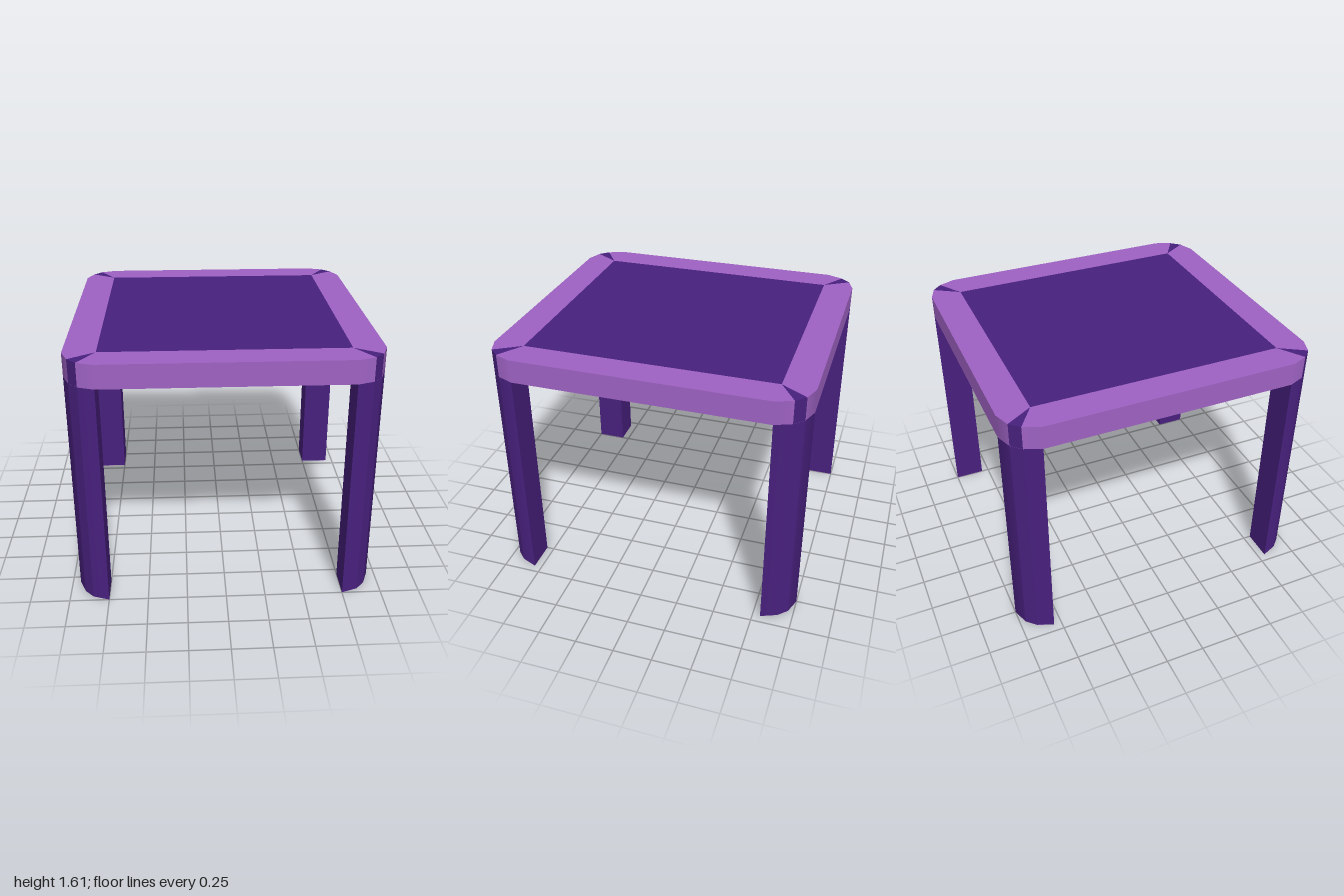
import * as THREE from 'three';

const CX = 0.75, CZ = 0.8;            // corner centres
const HX = 0.95, HZ = 1;              // outer half sizes
const Y0 = 1.46, Y1 = 1.61, SKIN = 0.001;
const A = [0.908, 0.904], B = [0.852, 0.963]; // points on the corner arc

const dark = new THREE.MeshStandardMaterial({ color: 0x48207e });
const light = new THREE.MeshStandardMaterial({ color: 0x9e62c3 });

// Upright prism over an outline of [x, z] points; normals blend where straight sides meet the corners
function prism(name, outline, y0, y1, material) {
  const shape = new THREE.Shape(outline.map(([x, z]) => new THREE.Vector2(x, -z)));
  const geo = new THREE.ExtrudeGeometry(shape, { depth: y1 - y0, bevelEnabled: false });
  geo.rotateX(-Math.PI / 2).translate(0, y0, 0);
  const pos = geo.attributes.position, nor = geo.attributes.normal;
  for (let i = 0; i < pos.count; i++) {
    const sx = Math.sign(pos.getX(i)), sz = Math.sign(pos.getZ(i));
    const onSide = Math.abs(pos.getX(i)) > HX - 1e-4, onEnd = Math.abs(pos.getZ(i)) > HZ - 1e-4;
    if (onSide && nor.getX(i) * sx > 0.8) nor.setXYZ(i, sx, 0, 0);
    if (onEnd && nor.getZ(i) * sz > 0.8) nor.setXYZ(i, 0, 0, sz);
  }
  const mesh = new THREE.Mesh(geo, material);
  mesh.name = name;
  return mesh;
}

const flip = (pts, sx, sz) => pts.map(([x, z]) => [x * sx, z * sz]);

export function createModel() {
  const model = new THREE.Group();
  model.name = 'table';

  // Rounded corner, and the whole outline made from it
  const arc = [[HX, CZ], A, B, [CX, HZ]];
  const outline = [
    ...arc,
    ...flip(arc, -1, 1).reverse(),
    ...flip(arc, -1, -1),
    ...flip(arc, 1, -1).reverse(),
  ];

  // Underside and centre panel
  model.add(prism('underside', outline, Y0, Y0 + SKIN, light));
  const centre = [[CX, CZ], [-CX, CZ], [-CX, -CZ], [CX, -CZ]];
  model.add(prism('centrePanel', centre, Y0 + SKIN, Y1, dark));

  // Rim boards, tapering into the corners
  const endRim = [[CX, CZ], B, [CX, HZ]];
  const sideRim = [[CX, CZ], A, [HX, CZ]];
  for (const s of [1, -1]) {
    const end = [...flip(endRim, 1, s), ...flip(endRim, -1, s).reverse()];
    const side = [...flip(sideRim, s, 1), ...flip(sideRim, s, -1).reverse()];
    model.add(prism(s > 0 ? 'frontRim' : 'backRim', end, Y0 + SKIN, Y1, light));
    model.add(prism(s > 0 ? 'leftRim' : 'rightRim', side, Y0 + SKIN, Y1, light));
  }

  // Legs with pale feet, and the corner wedges above them
  for (const sx of [1, -1]) {
    for (const sz of [1, -1]) {
      const corner = (sz > 0 ? 'front' : 'back') + (sx > 0 ? 'Left' : 'Right');
      const section = flip([[CX, CZ], ...arc], sx, sz);
      model.add(prism(corner + 'Foot', section, 0, SKIN, light));
      model.add(prism(corner + 'Leg', section, SKIN, Y0, dark));
      model.add(prism(corner + 'Wedge', flip([[CX, CZ], A, B], sx, sz), Y0 + SKIN, Y1, dark));
    }
  }
  return model;
}
